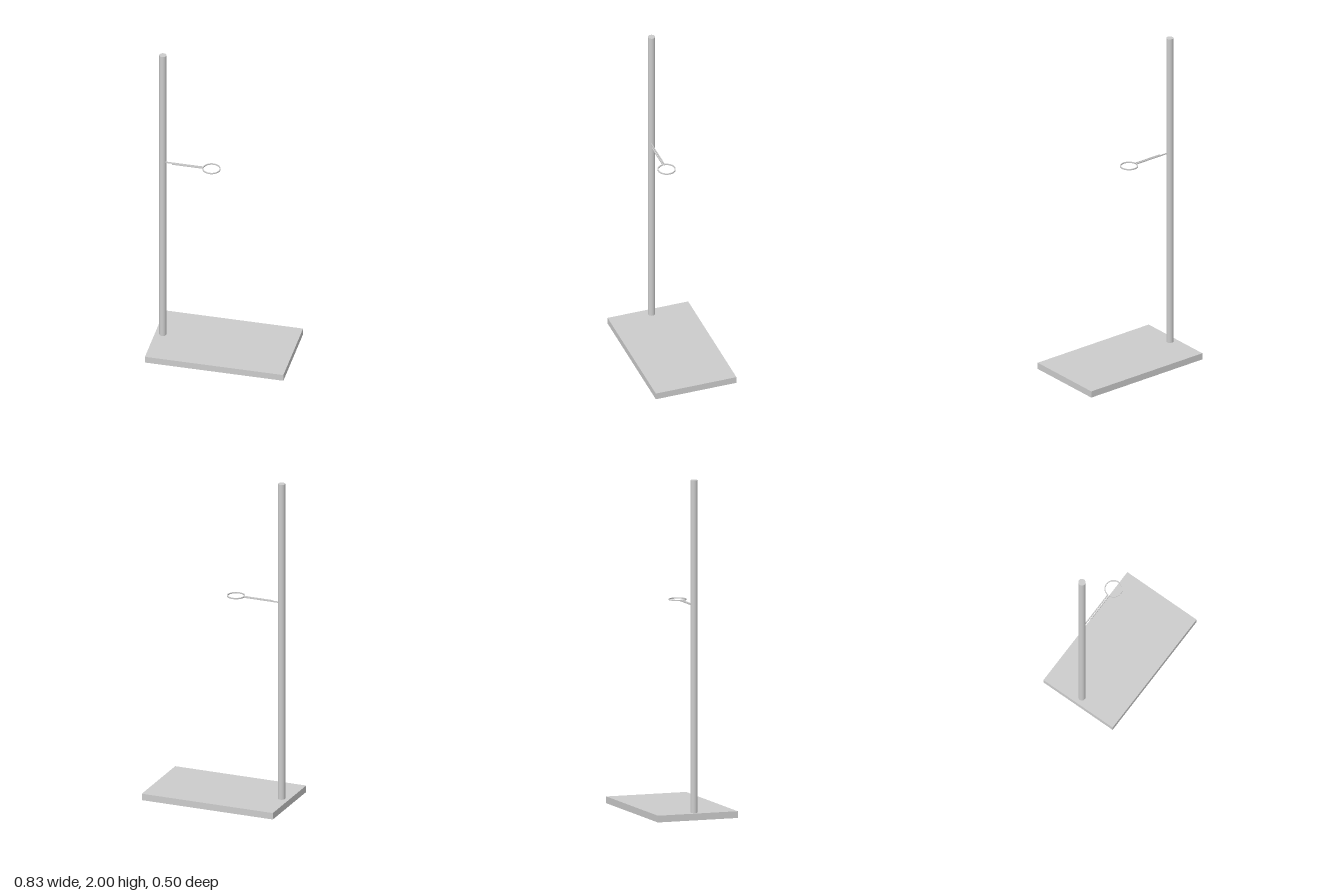
import * as THREE from 'three';

const grey = new THREE.MeshStandardMaterial({ color: 0xcccccc });

function addPart(group, name, geometry, x, y, z) {
  const mesh = new THREE.Mesh(geometry, grey);
  mesh.name = name;
  mesh.position.set(x, y, z);
  group.add(mesh);
}

// Ring split towards the rod, with two parallel prongs of unequal length.
// The shape is centred on the ring; shape +y becomes -z.
function clampGeometry(outer, inner, rearEnd, frontEnd, thickness) {
  const far = 0.0075, near = 0.002; // prong edges either side of the split
  const outAngle = Math.PI - Math.asin(far / outer);
  const inAngle = Math.PI - Math.asin(near / inner);
  const shape = new THREE.Shape();
  shape.moveTo(rearEnd, near);
  shape.lineTo(rearEnd, far);
  shape.absarc(0, 0, outer, outAngle, -outAngle, true);
  shape.lineTo(frontEnd, -far);
  shape.lineTo(frontEnd, -near);
  shape.absarc(0, 0, inner, -inAngle, inAngle, false);
  shape.closePath();
  return new THREE.ExtrudeGeometry(shape, { depth: thickness, bevelEnabled: false, curveSegments: 64 })
    .rotateX(-Math.PI / 2)
    .translate(0, -thickness / 2, 0);
}

export function createModel() {
  const group = new THREE.Group();
  group.name = 'ringStand';

  // Flat base plate
  addPart(group, 'base', new THREE.BoxGeometry(0.83, 0.04, 0.5), 0, 0.02, 0);

  // Upright rod near the plate's end
  addPart(group, 'rod', new THREE.CylinderGeometry(0.021, 0.021, 1.96, 48), -0.368, 1.02, -0.006);

  // Split ring clamp; the rear prong reaches into the rod
  addPart(group, 'ringClamp', clampGeometry(0.053, 0.0475, -0.28, -0.234, 0.007), -0.073, 1.256, 0.007);

  return group;
}
